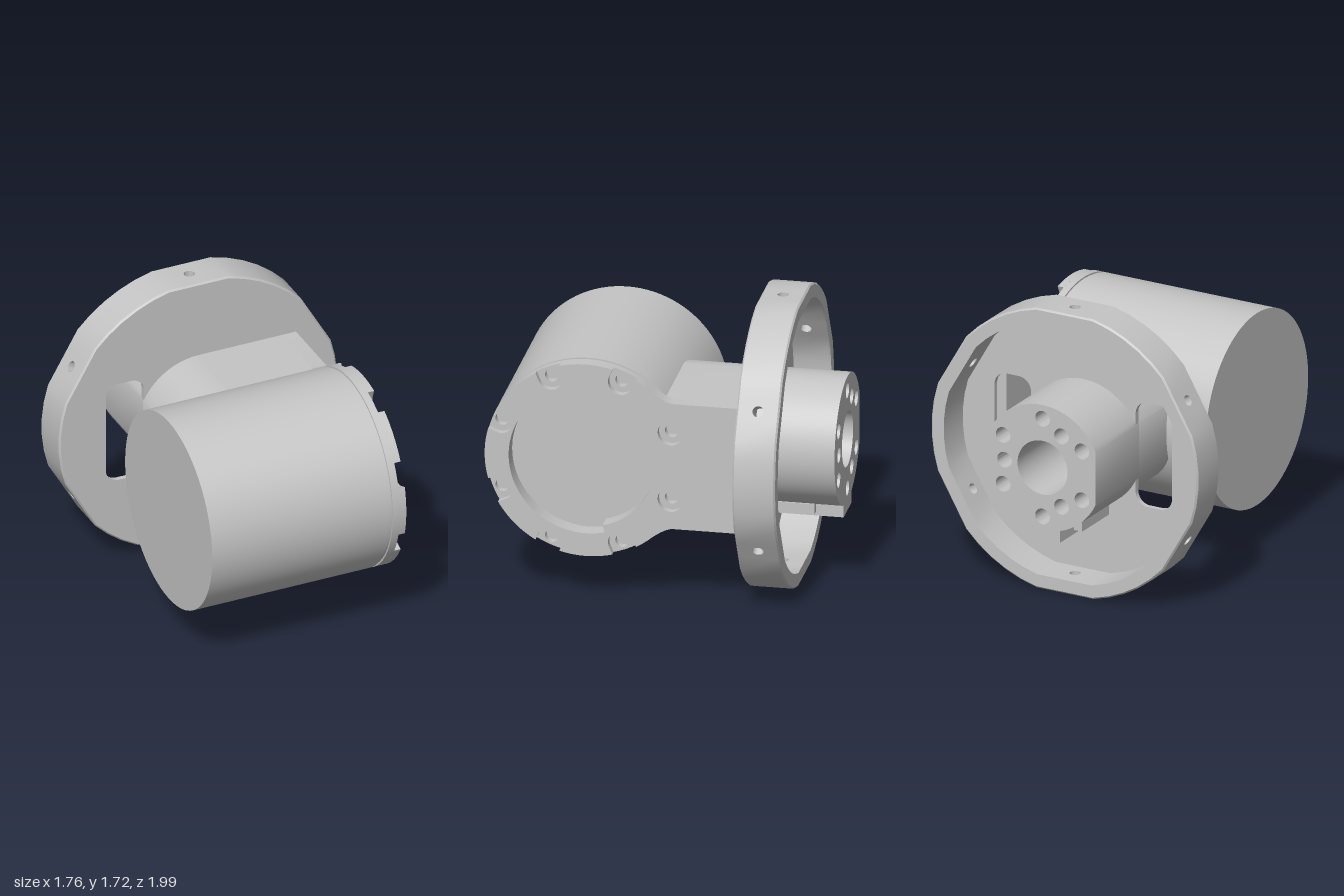
import * as THREE from 'three';
import { toCreasedNormals } from 'three/addons/utils/BufferGeometryUtils.js';

const CY = 0.86;          // height of the flange and motor axes
const DRUM_Z = 0.405;     // centre of the drum
const rad = THREE.MathUtils.degToRad;

const circle = (x, y, r) => new THREE.Path().absarc(x, y, r, 0, Math.PI * 2, true);

function roundRect(x0, x1, y0, y1, r) {
  const p = new THREE.Path();
  p.absarc(x1 - r, y1 - r, r, 0, Math.PI / 2);
  p.absarc(x0 + r, y1 - r, r, Math.PI / 2, Math.PI);
  p.absarc(x0 + r, y0 + r, r, Math.PI, Math.PI * 1.5);
  p.absarc(x1 - r, y0 + r, r, Math.PI * 1.5, Math.PI * 2);
  return p.closePath();
}

export function createModel() {
  const model = new THREE.Group();
  const grey = new THREE.MeshStandardMaterial({ color: 0xc5c5c5 });
  grey.name = 'machined grey';

  function add(name, geo) {
    const mesh = new THREE.Mesh(geo, grey);
    mesh.name = name;
    model.add(mesh);
    return mesh;
  }
  function extrude(shape, depth, segments = 32) {
    return toCreasedNormals(new THREE.ExtrudeGeometry(shape,
      { depth, bevelEnabled: false, curveSegments: segments }), 0.5);
  }
  // Extrusion between two z positions, drawn around the flange axis
  const alongZ = (name, shape, z0, z1) =>
    add(name, extrude(shape, z1 - z0).translate(0, CY, z0));
  // Extrusion between two x positions, drawn around the drum axis (shape x points back)
  const alongX = (name, shape, x0, x1) =>
    add(name, extrude(shape, x1 - x0).rotateY(Math.PI / 2).translate(x0, CY, DRUM_Z));

  // Motor drum
  const drum = add('drum', new THREE.CylinderGeometry(0.59, 0.59, 1.12, 96));
  drum.rotation.z = Math.PI / 2;
  drum.position.set(-0.05, CY, DRUM_Z);

  // End cap: round recess with a stepped radius
  const recess = () => new THREE.Path()
    .absarc(0, 0, 0.45, rad(76), rad(284))
    .absarc(0, 0, 0.405, rad(-76), rad(76)).closePath();

  // Cap outline with filleted arm; slotted counterbores break out of the rim
  function capShape(slotted, holeR) {
    const s = new THREE.Shape();
    const R = 0.59, bolt = 0.535, bore = 0.075;
    const phi = Math.asin(bore / R);
    s.moveTo(0.905, -0.385);
    s.lineTo(0.905, 0.385);
    s.lineTo(0.51, 0.385);
    s.quadraticCurveTo(0.46, 0.385, R * Math.cos(rad(52)), R * Math.sin(rad(52)));
    let from = rad(52);
    for (let i = 0; i < 6; i++) {
      const a = rad(67.5 + 45 * i);
      const x = bolt * Math.cos(a), y = bolt * Math.sin(a);
      if (slotted) {
        s.absarc(0, 0, R, from, a - phi);
        s.absarc(x, y, bore, a - Math.PI / 2, a - Math.PI * 1.5, true);
        from = a + phi;
      } else {
        s.holes.push(circle(x, y, holeR));
      }
    }
    s.absarc(0, 0, R, from, rad(308));
    s.quadraticCurveTo(0.46, -0.385, 0.51, -0.385);
    s.closePath();
    for (const side of [-1, 1]) {
      s.holes.push(circle(bolt * Math.cos(rad(22.5)), side * bolt * Math.sin(rad(22.5)), holeR));
    }
    s.holes.push(recess());
    return s;
  }
  const groove = new THREE.Shape().absarc(0, 0, 0.58, 0, Math.PI * 2);
  groove.holes.push(recess());
  alongX('capGroove', groove, 0.51, 0.53);
  alongX('capBase', capShape(false, 0.04), 0.53, 0.575);
  alongX('capFace', capShape(true, 0.075), 0.575, 0.615);

  // Arm: round on one side with a flat, square on the other, hollowed by a pocket
  const HUB = 0.385, FLAT = 0.35;
  const flatAngle = Math.acos(FLAT / HUB);
  const arm = new THREE.Shape();
  arm.moveTo(0.53, -HUB);
  arm.lineTo(0.53, HUB);
  arm.absarc(0, 0, HUB, Math.PI / 2, Math.PI - flatAngle);
  arm.absarc(0, 0, HUB, Math.PI + flatAngle, Math.PI * 1.5);
  arm.closePath();
  const pocket = new THREE.Path();
  pocket.moveTo(0.525, -0.32);
  pocket.lineTo(0.525, 0.32);
  pocket.lineTo(FLAT, 0.32);
  pocket.absarc(0, 0, HUB, flatAngle, -flatAngle, true);
  pocket.lineTo(FLAT, -0.32);
  pocket.closePath();
  arm.holes.push(pocket);
  alongZ('arm', arm, -0.5, 0);

  // Output hub with centre bore and two bolt circles
  const hub = new THREE.Shape()
    .absarc(0, 0, HUB, Math.PI + flatAngle, Math.PI * 3 - flatAngle).closePath();
  hub.holes.push(circle(0, 0, 0.165));
  const bolts = [[0.3, 30, 6], [0.25, 0, 3]];
  for (const [r, start, n] of bolts) {
    for (let i = 0; i < n; i++) {
      const a = rad(start + i * 360 / n);
      hub.holes.push(circle(r * Math.cos(a), r * Math.sin(a), 0.048));
    }
  }
  alongZ('hub', hub, -1, -0.5);

  // Key along the underside of the hub, with a wider shoulder near the flange
  add('key', new THREE.BoxGeometry(0.23, 0.08, 0.47).translate(0, 0.46, -0.765));
  add('keyShoulder', new THREE.BoxGeometry(0.34, 0.065, 0.31).translate(0, 0.4775, -0.685));

  // Flange outline: a circle trimmed by six flats
  const WALL = 0.085, HALF = 0.06, ROUND = 0.88, ACROSS = 0.86, CHAMFER = 0.01;
  const flatDir = k => rad(30 + 60 * k);
  const onFlat = (k, inset, t) => {
    const a = flatDir(k), d = ACROSS - inset;
    return new THREE.Vector2(d * Math.cos(a) - t * Math.sin(a), d * Math.sin(a) + t * Math.cos(a));
  };
  function sector(k, inset) {
    const R = ROUND - inset;
    const trim = Math.acos((ACROSS - inset) / R);
    const a0 = flatDir(k) + trim, a1 = flatDir(k + 1) - trim;
    const pts = [onFlat(k, inset, HALF)];
    for (let i = 0; i <= 5; i++) {
      const a = a0 + (a1 - a0) * i / 5;
      pts.push(new THREE.Vector2(R * Math.cos(a), R * Math.sin(a)));
    }
    pts.push(onFlat(k + 1, inset, -HALF));
    return pts;
  }
  const outline = inset => [0, 1, 2, 3, 4, 5].flatMap(k => sector(k, inset));

  // Flange floor with a window on each side of the hub
  const floor = new THREE.Shape(outline(CHAMFER));
  floor.holes.push(roundRect(0.345, 0.585, -0.32, 0.32, 0.08));
  floor.holes.push(roundRect(-0.585, -0.345, -0.32, 0.32, 0.08));
  alongZ('flangeFloor', floor, -0.53, -0.5);

  // Flange rim: six wall sectors joined by blocks with radial screw holes
  const Z = new THREE.Vector3(0, 0, 1);
  for (let k = 0; k < 6; k++) {
    const wall = new THREE.Shape([...sector(k, 0), ...sector(k, WALL).reverse()]);
    alongZ('flangeRim', wall, -0.74, -0.51);

    const block = new THREE.Shape();
    block.moveTo(-HALF, -0.115);
    block.lineTo(HALF, -0.115);
    block.lineTo(HALF, 0.115);
    block.lineTo(-HALF, 0.115);
    block.closePath();
    block.holes.push(circle(0, 0, 0.032));
    const a = flatDir(k), d = ACROSS - WALL;
    const out = new THREE.Vector3(Math.cos(a), Math.sin(a), 0);
    const tangent = new THREE.Vector3(-Math.sin(a), Math.cos(a), 0);
    const place = new THREE.Matrix4().makeBasis(tangent, Z, out)
      .setPosition(out.x * d, CY + out.y * d, -0.625);
    add('rimScrewBlock', extrude(block, WALL, 12).applyMatrix4(place));
  }

  // Rear edge of the rim and the chamfers on both outer edges
  const rear = new THREE.Shape(outline(CHAMFER));
  rear.holes.push(new THREE.Path(outline(WALL)));
  alongZ('rimRearEdge', rear, -0.75, -0.74);
  function chamfer(insetA, zA, insetB, zB) {
    const a = outline(insetA), b = outline(insetB), n = a.length;
    const pos = [], index = [];
    for (let i = 0; i < n; i++) {
      const j = (i + 1) % n;
      pos.push(a[i].x, a[i].y + CY, zA, b[i].x, b[i].y + CY, zB);
      index.push(2 * i, 2 * j, 2 * j + 1, 2 * i, 2 * j + 1, 2 * i + 1);
    }
    const geo = new THREE.BufferGeometry();
    geo.setAttribute('position', new THREE.Float32BufferAttribute(pos, 3));
    geo.setIndex(index);
    geo.computeVertexNormals();
    add('flangeChamfer', geo);
  }
  chamfer(0, -0.51, CHAMFER, -0.5);
  chamfer(CHAMFER, -0.75, 0, -0.74);
  return model;
}
